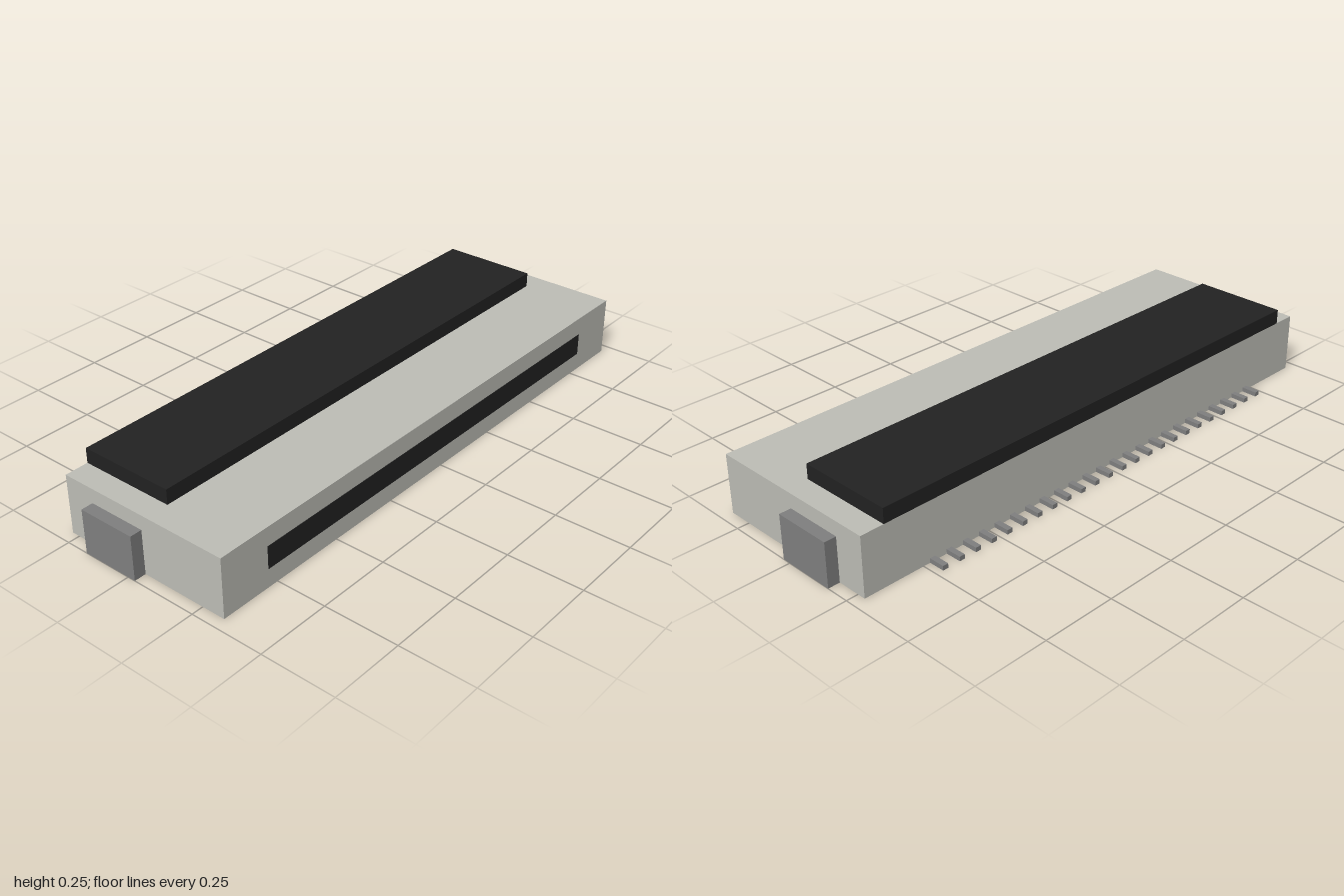
import * as THREE from 'three';

export function createModel() {
  const model = new THREE.Group();
  model.name = 'ribbonCableConnector';

  const material = (name, color) => {
    const m = new THREE.MeshStandardMaterial({ color });
    m.name = name;
    return m;
  };
  const housingGrey = material('housing grey', 0xbebeb7);
  const black = material('black', 0x222222);
  const metal = material('metal grey', 0x808080);

  // Box given by its low and high limits on each axis
  const addBox = (name, mat, [x0, x1], [y0, y1], [z0, z1]) => {
    const mesh = new THREE.Mesh(new THREE.BoxGeometry(x1 - x0, y1 - y0, z1 - z0), mat);
    mesh.position.set((x0 + x1) / 2, (y0 + y1) / 2, (z0 + z1) / 2);
    mesh.name = name;
    model.add(mesh);
  };

  const back = -0.278, front = 0.33;

  // Housing, locking flap on top and cable slot in the front
  addBox('housing', housingGrey, [-0.96, 0.96], [0, 0.2], [back, front]);
  addBox('lockingFlap', black, [-0.88, 0.88], [0.2, 0.25], [back, 0.05]);
  addBox('cableSlot', black, [-0.785, 0.785], [0.063, 0.138], [front - 0.003, front + 0.002]);

  // Solder tabs on both ends
  addBox('leftSolderTab', metal, [0.96, 1], [0, 0.15], [-0.172, 0.027]);
  addBox('rightSolderTab', metal, [-1, -0.96], [0, 0.15], [-0.172, 0.027]);

  // Row of contact pins along the back
  const pinCount = 24, pitch = 0.0623, pinWidth = 0.019;
  for (let i = 0; i < pinCount; i++) {
    const x = (i - (pinCount - 1) / 2) * pitch;
    addBox(`contactPin${i + 1}`, metal, [x - pinWidth / 2, x + pinWidth / 2], [0, 0.015], [-0.332, back]);
  }

  return model;
}
